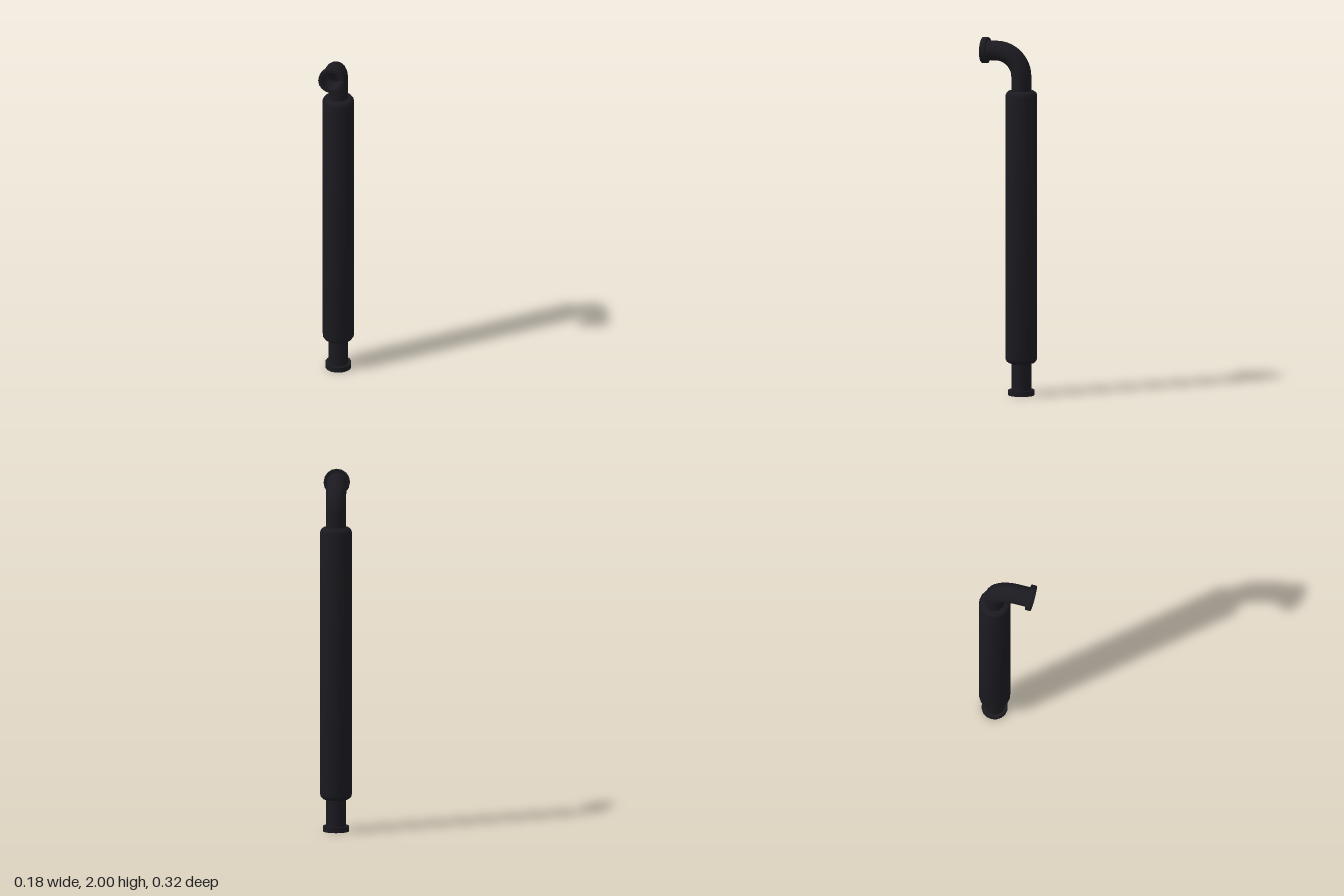
import * as THREE from 'three';
import { toCreasedNormals } from 'three/addons/utils/BufferGeometryUtils.js';

const SIDES = 16;
const YAW = -0.058; // slight turn of the outlet about the pipe axis

export function createModel() {
  const group = new THREE.Group();
  const material = new THREE.MeshStandardMaterial({ color: 0x1b1a20, side: THREE.DoubleSide });

  function add(name, geometry, parent = group) {
    const mesh = new THREE.Mesh(geometry, material);
    mesh.name = name;
    parent.add(mesh);
    return mesh;
  }
  function lathe(points, crease) {
    const profile = points.map(([r, y]) => new THREE.Vector2(r, y));
    return toCreasedNormals(new THREE.LatheGeometry(profile, SIDES), crease);
  }

  // Everything hangs on the vertical pipe axis
  const pipe = new THREE.Group();
  pipe.name = 'pipeAssembly';
  pipe.position.z = -0.068;
  pipe.rotation.y = YAW;
  group.add(pipe);

  // Thick sleeve with rounded shoulders
  const bottom = 0.18, top = 1.71, r = 0.088, bevel = 0.028;
  const profile = [[0.05, bottom]];
  for (let i = 0; i <= 4; i++) {
    const a = (i / 4) * Math.PI / 2;
    profile.push([r - bevel + bevel * Math.sin(a), bottom + bevel - bevel * Math.cos(a)]);
  }
  for (let i = 0; i <= 4; i++) {
    const a = (i / 4) * Math.PI / 2;
    profile.push([r - bevel + bevel * Math.cos(a), top - bevel + bevel * Math.sin(a)]);
  }
  profile.push([0.05, top]);
  add('sleeve', lathe(profile, 0.7), pipe);

  // Open inner pipe: straight riser, quarter bend, short outlet
  const bend = 0.14, outletY = 1.928, mouth = 0.224;
  const path = new THREE.CurvePath();
  const a = new THREE.Vector3(0, 0.01, 0);
  const b = new THREE.Vector3(0, outletY - bend, 0);
  const c = new THREE.Vector3(0, outletY, bend);
  const d = new THREE.Vector3(0, outletY, mouth - 0.01);
  const k = 0.5523 * bend;
  add('lowerPipe', new THREE.TubeGeometry(new THREE.LineCurve3(a, b), 1, 0.056, SIDES), pipe);
  path.add(new THREE.CubicBezierCurve3(
    b, new THREE.Vector3(0, b.y + k, 0), new THREE.Vector3(0, outletY, bend - k), c));
  path.add(new THREE.LineCurve3(c, d));
  add('elbow', new THREE.TubeGeometry(path, 16, 0.056, SIDES), pipe);

  // Flange rings at both open ends
  const ring = [[0.056, 0], [0.073, 0], [0.073, 0.03], [0.054, 0.03], [0.056, 0]];
  add('bottomFlange', lathe(ring, 0.6), pipe);
  const outlet = add('outletFlange', lathe(ring, 0.6), pipe);
  outlet.rotation.x = -Math.PI / 2;
  outlet.position.set(0, outletY, mouth);

  return group;
}
